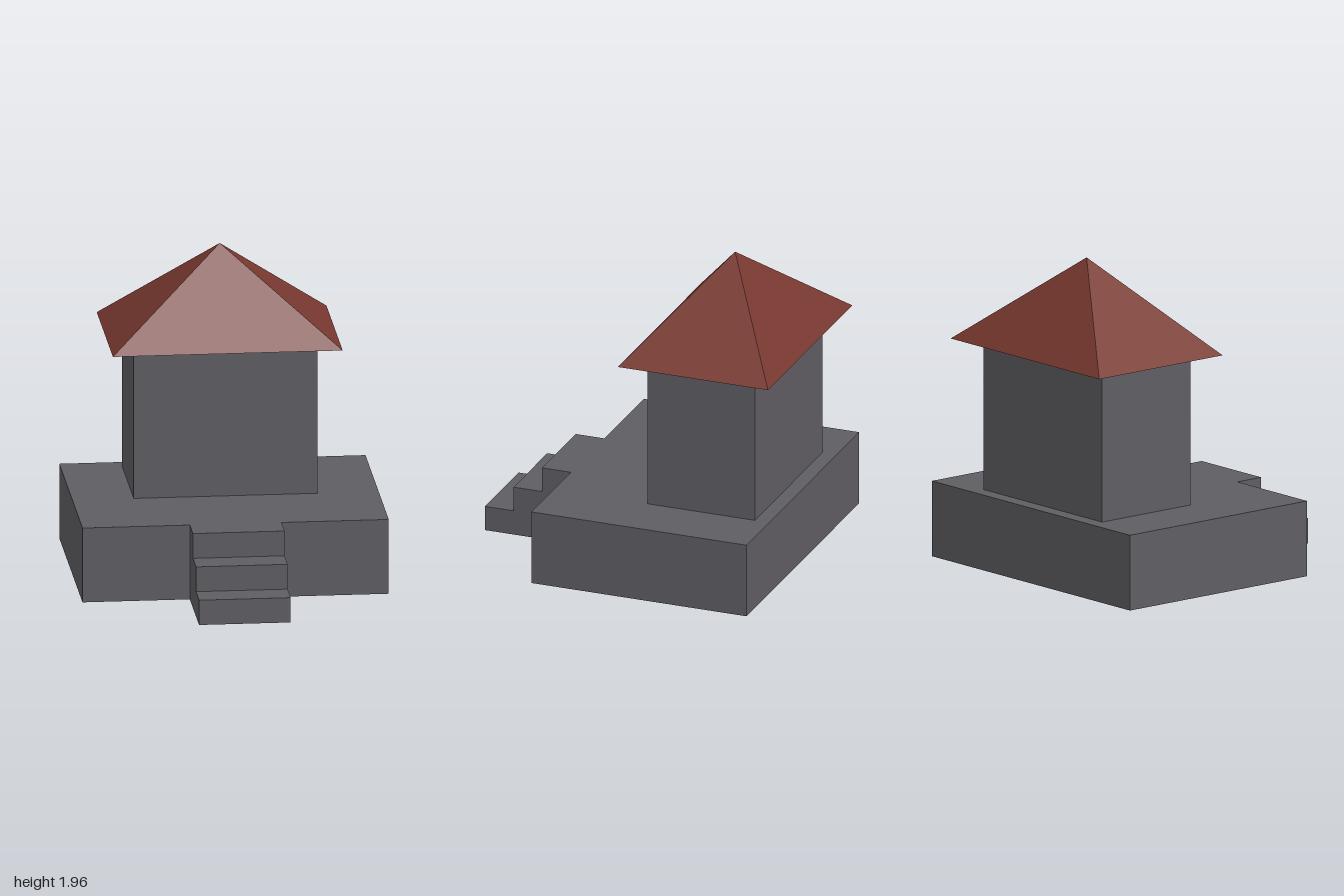
import * as THREE from 'three';

export function createModel() {
  const stone = new THREE.MeshStandardMaterial({ color: 0x5f5d63 });
  stone.name = 'grey stone';
  const tiles = new THREE.MeshStandardMaterial({ color: 0x77382f });
  tiles.name = 'red roof';

  const model = new THREE.Group();
  model.name = 'smallTower';
  const add = (name, geometry, material) => {
    const mesh = new THREE.Mesh(geometry, material);
    mesh.name = name;
    model.add(mesh);
  };

  // Box given by its half width, height range and depth range
  const block = (halfX, y0, y1, z0, z1) =>
    new THREE.BoxGeometry(halfX * 2, y1 - y0, z1 - z0)
      .translate(0, (y0 + y1) / 2, (z0 + z1) / 2);

  const baseTop = 0.467, wallTop = 1.4, baseFront = 0.443;
  add('base', block(0.929, 0, baseTop, -0.953, baseFront), stone);
  add('walls', block(0.557, baseTop, wallTop, -0.86, -0.163), stone);

  // Stairs: a stepped side profile extruded across the width
  const steps = 3, run = (1 - baseFront) / steps, rise = baseTop / steps;
  const profile = new THREE.Shape().moveTo(baseFront, 0).lineTo(1, 0);
  for (let i = 0; i < steps; i++) {
    profile.lineTo(1 - i * run, (i + 1) * rise);
    profile.lineTo(1 - (i + 1) * run, (i + 1) * rise);
  }
  const width = 0.556;
  const stairs = new THREE.ExtrudeGeometry(profile, { depth: width, bevelEnabled: false })
    .rotateY(-Math.PI / 2)
    .translate(width / 2, 0, 0);
  add('stairs', stairs, stone);

  // Four-sided roof with overhanging eaves and a closed underside
  const roofHeight = 0.555;
  const roof = new THREE.ConeGeometry(Math.SQRT1_2, 1, 4)
    .rotateY(Math.PI / 4)
    .scale(1.394, roofHeight, 0.973)
    .translate(0, wallTop + roofHeight / 2, -0.5135)
    .toNonIndexed();
  roof.computeVertexNormals();
  add('roof', roof, tiles);

  return model;
}
